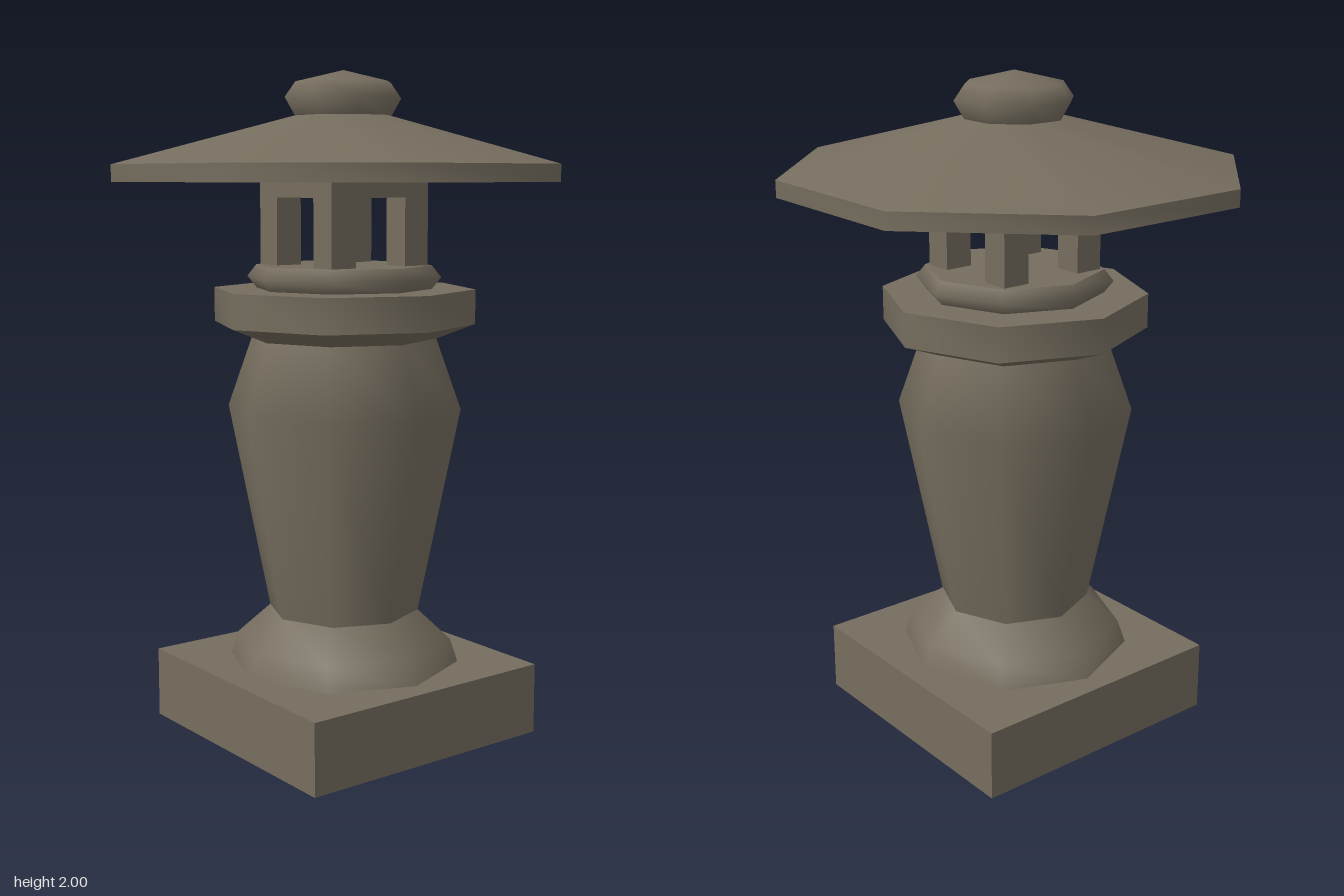
import * as THREE from 'three';
import { mergeVertices } from 'three/addons/utils/BufferGeometryUtils.js';

export function createModel() {
  const group = new THREE.Group();
  const stone = new THREE.MeshStandardMaterial({ color: 0x756d5e, side: THREE.DoubleSide });
  stone.name = 'weathered stone';

  function add(name, geometry, parent = group) {
    const mesh = new THREE.Mesh(geometry, stone);
    mesh.name = name;
    parent.add(mesh);
    return mesh;
  }

  // Octagonal stack: each band of [corner radius, height] points is smooth, with creases between bands
  function octagon(name, turn, bands) {
    const part = new THREE.Group();
    part.name = name;
    part.rotation.y = turn;
    for (const band of bands) {
      const points = band.map(([r, y]) => new THREE.Vector2(r, y));
      let lathe = new THREE.LatheGeometry(points, 8);
      lathe.deleteAttribute('normal');
      lathe.deleteAttribute('uv');
      lathe = mergeVertices(lathe, 1e-4);
      lathe.computeVertexNormals();
      add(name + 'Band', lathe, part);
    }
    group.add(part);
  }

  // Square plinth, open underneath
  const plinth = new THREE.BoxGeometry(0.835, 0.215, 0.835);
  const index = Array.from(plinth.index.array);
  index.splice(18, 6);
  plinth.setIndex(index);
  plinth.clearGroups();
  plinth.translate(0, 0.1075, 0);
  add('plinth', plinth);

  // Foot, pillar and platform, with corners on the axes
  octagon('foot', 0, [[[0.355, 0.211], [0.33, 0.285], [0.23, 0.375]]]);
  octagon('pillar', 0, [[[0.23, 0.375], [0.355, 1.0], [0.28, 1.212]]]);
  octagon('platform', 0, [
    [[0.28, 1.212], [0.395, 1.257]],
    [[0.395, 1.257], [0.395, 1.36]],
    [[0.395, 1.36], [0, 1.36]],
  ]);
  octagon('lanternSeat', 0, [
    [[0.265, 1.36], [0.293, 1.395], [0.265, 1.43]],
    [[0.265, 1.43], [0, 1.43]],
  ]);

  // Open light chamber: four corner posts and a square lintel frame
  const chamber = new THREE.Group();
  chamber.name = 'lightChamber';
  group.add(chamber);
  for (const x of [-1, 1]) {
    for (const z of [-1, 1]) {
      const post = add('post', new THREE.BoxGeometry(0.087, 0.25, 0.087), chamber);
      post.position.set(x * 0.1345, 1.555, z * 0.1345);
    }
  }
  const square = (h) => [[-h, -h], [h, -h], [h, h], [-h, h]].map(([x, y]) => new THREE.Vector2(x, y));
  const frame = new THREE.Shape(square(0.178));
  frame.holes.push(new THREE.Path(square(0.091)));
  const lintel = new THREE.ExtrudeGeometry(frame, { depth: 0.075, bevelEnabled: false });
  lintel.rotateX(-Math.PI / 2);
  lintel.translate(0, 1.63, 0);
  add('lintel', lintel, chamber);

  // Flared cornice tucked under the roof
  let cornice = new THREE.CylinderGeometry(0.212 * Math.SQRT2, 0.178 * Math.SQRT2, 0.065, 4, 1, true, Math.PI / 4);
  cornice = cornice.toNonIndexed();
  cornice.computeVertexNormals();
  cornice.translate(0, 1.7375, 0);
  add('cornice', cornice, chamber);

  // Wide roof with a hollow underside, flat sides to the axes and a hair off square
  const flatOn = Math.PI / 8;
  octagon('roof', flatOn + 0.01, [
    [[0, 1.84], [0.15, 1.815], [0.687, 1.675]],
    [[0.687, 1.675], [0.687, 1.725]],
    [[0.687, 1.725], [0.146, 1.868]],
  ]);

  // Finial
  octagon('finial', flatOn + 0.01, [[[0.146, 1.865], [0.178, 1.92], [0.146, 1.965], [0, 2.0]]]);

  return group;
}
